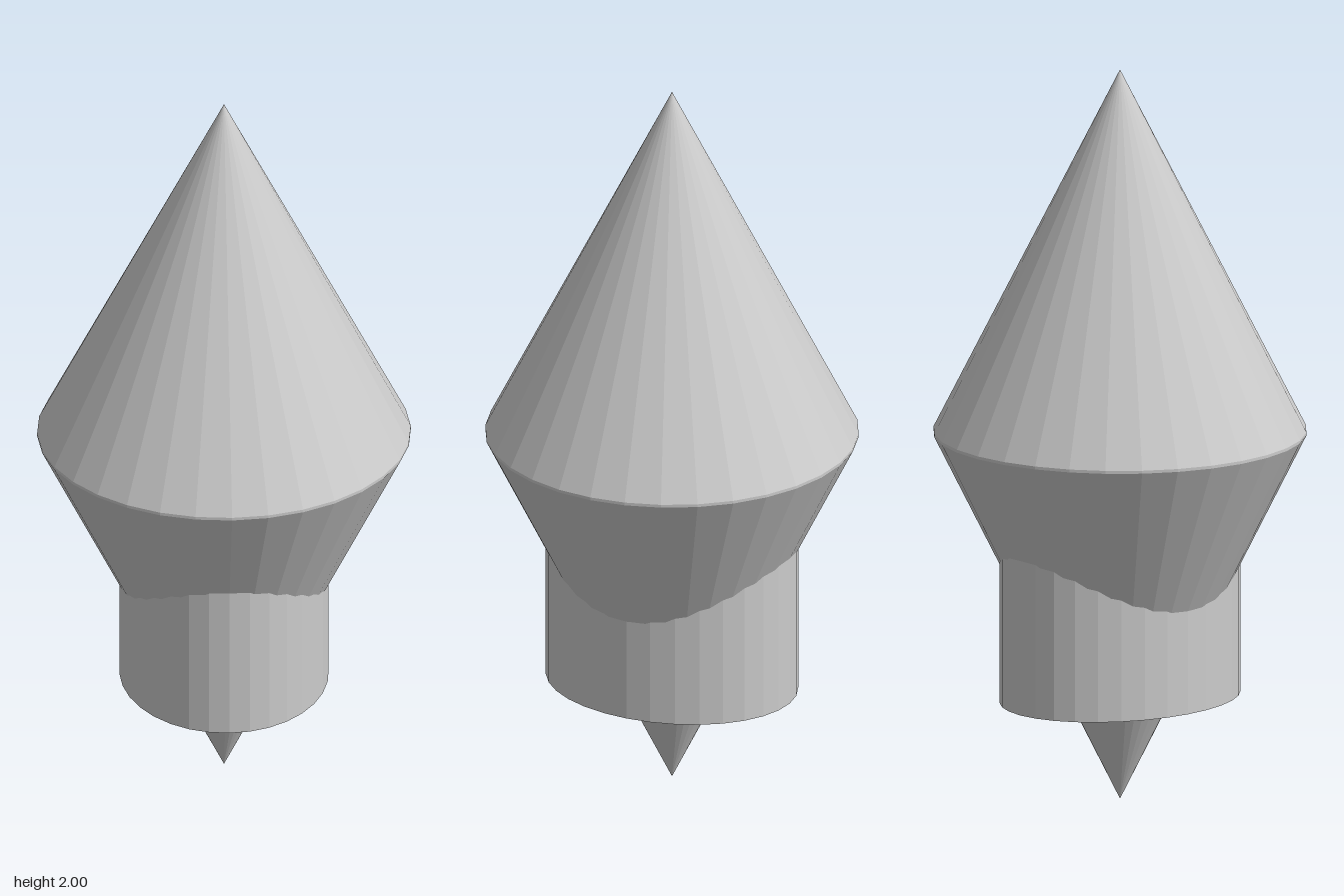
import * as THREE from 'three';

const SIDES = 32;
const RIM = 0.5;

export function createModel() {
  const group = new THREE.Group();
  const material = new THREE.MeshStandardMaterial({ color: 0xcccccc, flatShading: true });

  // Faceted round part spanning two heights
  function addRound(name, topRadius, bottomRadius, bottomY, topY, open = false) {
    const geometry = new THREE.CylinderGeometry(topRadius, bottomRadius, topY - bottomY, SIDES, 1, open);
    const mesh = new THREE.Mesh(geometry, material);
    mesh.name = name;
    mesh.position.y = (bottomY + topY) / 2;
    group.add(mesh);
    return mesh;
  }

  // Spinning body: pointed top, thin rim and pointed underside
  addRound('upperCone', 0, RIM, 1.013, 2, true);
  addRound('rimBand', RIM, RIM, 1.005, 1.013, true);
  addRound('lowerCone', RIM, 0, 0, 1.005, true);

  // Oval collar around the lower cone
  const collar = addRound('ovalCollar', 1, 1, 0.28, 0.75);
  collar.geometry.scale(0.28, 1, 0.35);

  return group;
}
